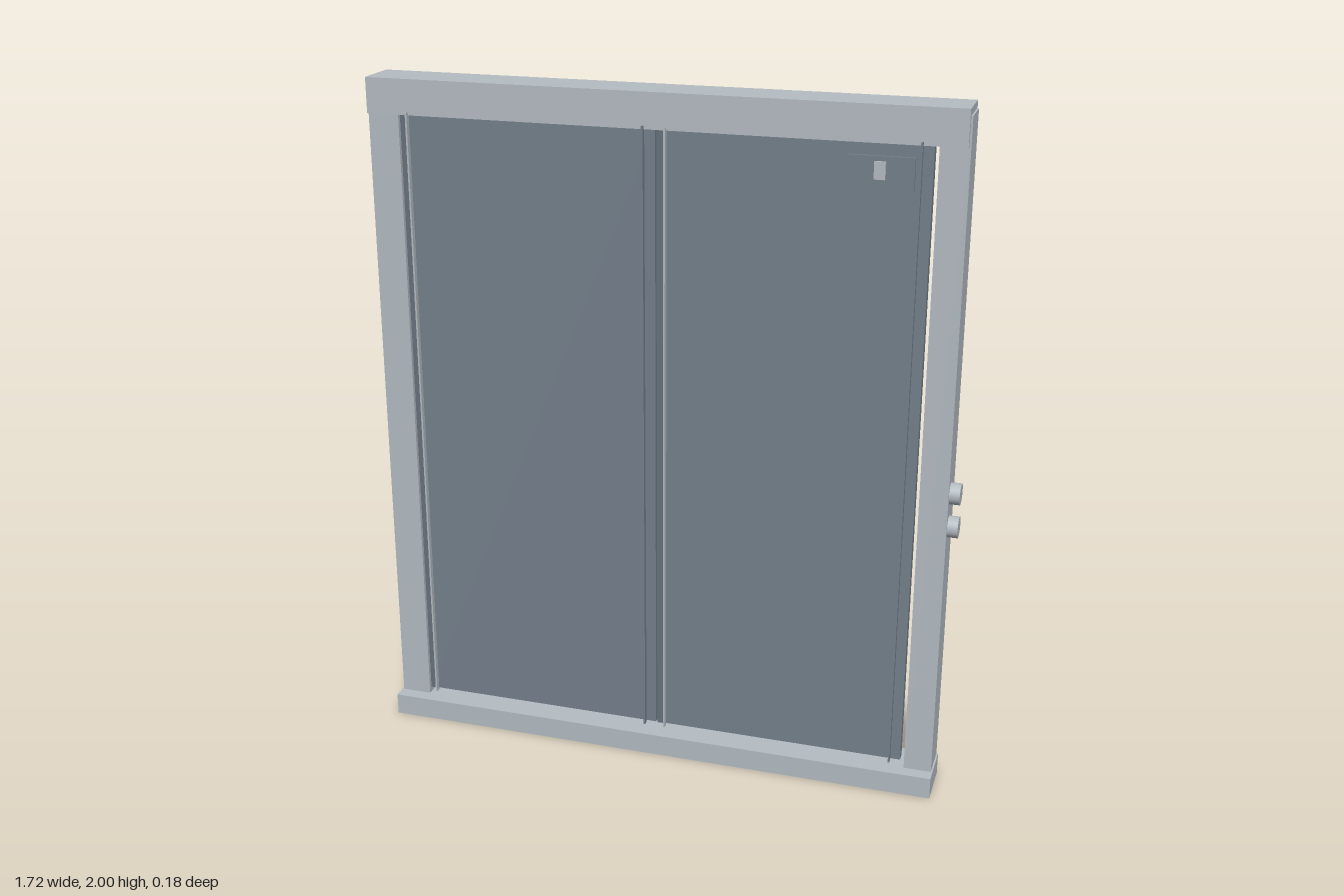
import * as THREE from 'three';

export function createModel() {
  const model = new THREE.Group();
  model.name = 'slidingDoorway';
  const mat = (name, color) => {
    const m = new THREE.MeshStandardMaterial({ color });
    m.name = name;
    return m;
  };
  const frameGrey = mat('frameGrey', 0xb4bcc2);
  const doorGrey = mat('doorGrey', 0x74808b);
  const edgeGrey = mat('edgeGrey', 0x67727c);

  // Box given by its limits on each axis
  const box = (name, material, [x0, x1], [y0, y1], [z0, z1], parent = model) => {
    const mesh = new THREE.Mesh(new THREE.BoxGeometry(x1 - x0, y1 - y0, z1 - z0), material);
    mesh.position.set((x0 + x1) / 2, (y0 + y1) / 2, (z0 + z1) / 2);
    mesh.name = name;
    parent.add(mesh);
    return mesh;
  };

  // Surrounding frame
  box('header', frameGrey, [-0.857, 0.815], [1.9, 2], [-0.09, 0.045]);
  box('rightJamb', frameGrey, [-0.86, -0.77], [0, 1.98], [-0.08, 0.03]);
  box('leftJamb', frameGrey, [0.74, 0.82], [0, 1.98], [-0.08, 0.03]);
  box('sill', frameGrey, [-0.865, 0.825], [0, 0.065], [-0.078, 0.07]);

  // Two door leaves, each with a dark edge strip and two slim upright ribs
  [['rightDoor', -0.763], ['leftDoor', -0.015]].forEach(([name, x]) => {
    const door = new THREE.Group();
    door.name = name;
    model.add(door);
    box('panel', doorGrey, [x, x + 0.743], [0.09, 1.905], [0.002, 0.03], door);
    box('edgeStrip', edgeGrey, [x, x + 0.025], [0.09, 1.899], [0.03, 0.033], door);
    box('lightRib', frameGrey, [x + 0.025, x + 0.03], [0.09, 1.91], [0.04, 0.055], door);
    box('darkRib', doorGrey, [x + 0.711, x + 0.716], [0.09, 1.91], [0.04, 0.055], door);
  });

  // Indicator plate with a small light block
  box('indicatorPlate', doorGrey, [0.505, 0.685], [1.785, 1.87], [0.052, 0.06]);
  box('indicatorLight', frameGrey, [0.58, 0.61], [1.81, 1.857], [0.06, 0.068]);

  // Pair of call buttons beside the left jamb
  [0.865, 0.963].forEach((y, i) => {
    const button = new THREE.Mesh(new THREE.CylinderGeometry(0.03, 0.03, 0.029, 32), frameGrey);
    button.rotation.z = Math.PI / 2;
    button.position.set(0.8425, y, 0.063);
    button.name = i ? 'upperButton' : 'lowerButton';
    model.add(button);
  });

  return model;
}
